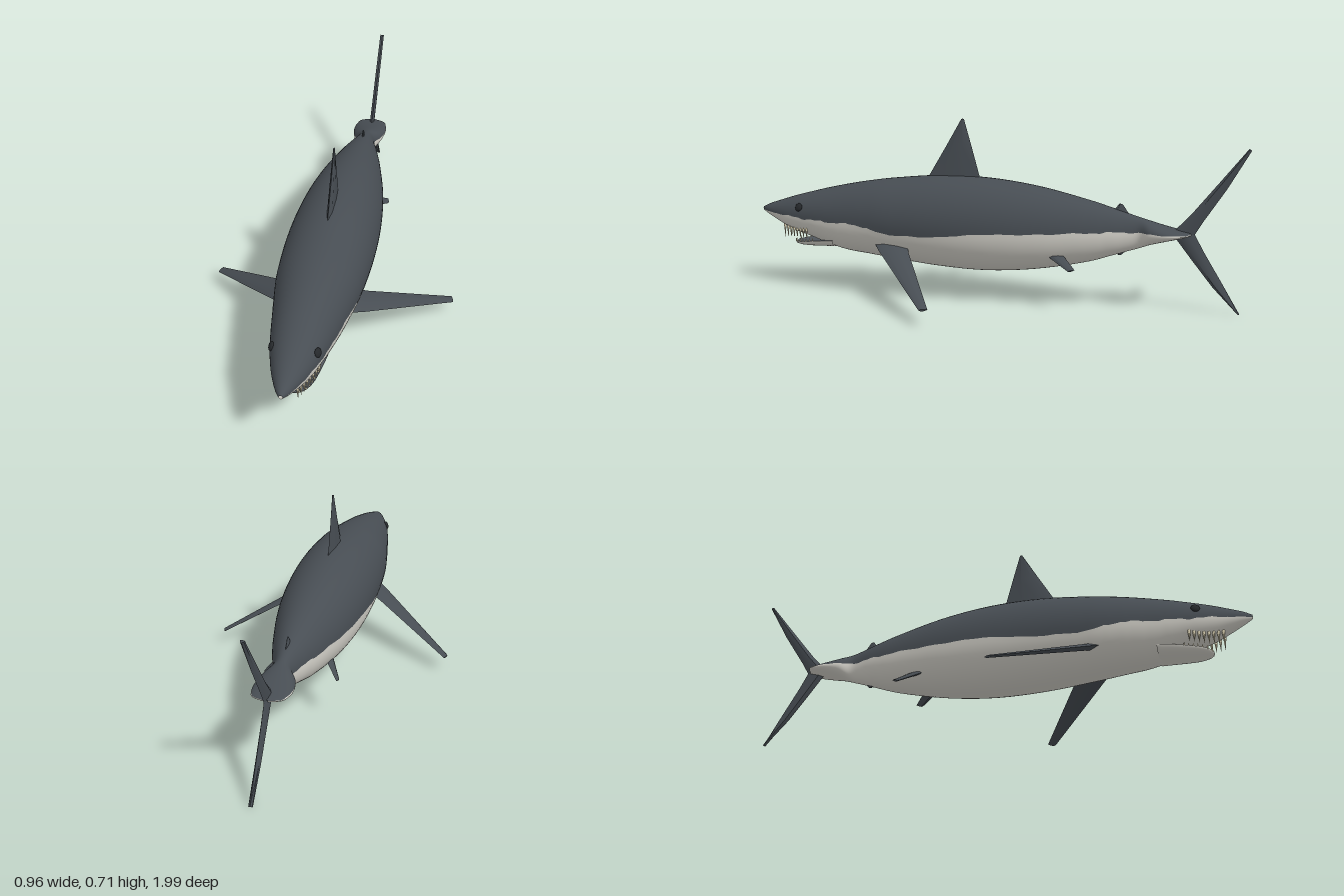
import * as THREE from 'three';
import { toCreasedNormals } from 'three/addons/utils/BufferGeometryUtils.js';

const V = (x, y, z) => new THREE.Vector3(x, y, z);

// Body stations: z, top y, bottom y, half width, colour border y
const BODY = [
  [0.99, 0.321, 0.305, 0.007, 0.309], [0.96, 0.335, 0.288, 0.026, 0.306],
  [0.9, 0.355, 0.257, 0.052, 0.302], [0.85, 0.371, 0.234, 0.07, 0.299],
  [0.8, 0.385, 0.217, 0.085, 0.296], [0.75, 0.398, 0.203, 0.097, 0.293],
  [0.7, 0.411, 0.186, 0.108, 0.291], [0.6, 0.433, 0.16, 0.127, 0.29],
  [0.5, 0.451, 0.149, 0.145, 0.288], [0.4, 0.465, 0.138, 0.16, 0.264],
  [0.2, 0.483, 0.118, 0.171, 0.262], [0, 0.48, 0.112, 0.166, 0.283],
  [-0.2, 0.455, 0.13, 0.142, 0.289], [-0.4, 0.41, 0.17, 0.097, 0.298],
  [-0.5, 0.382, 0.202, 0.067, 0.3], [-0.56, 0.364, 0.222, 0.046, 0.3],
  [-0.6, 0.352, 0.235, 0.04, 0.3], [-0.64, 0.34, 0.25, 0.061, 0.299],
  [-0.7, 0.322, 0.267, 0.071, 0.299], [-0.75, 0.31, 0.281, 0.064, 0.299],
  [-0.775, 0.305, 0.288, 0.05, 0.298], [-0.79, 0.301, 0.293, 0.008, 0.298],
];
// Lower jaw stations: z, top y, bottom y, half width
const JAW = [
  [0.84, 0.186, 0.18, 0.012], [0.825, 0.188, 0.173, 0.04], [0.79, 0.192, 0.169, 0.062],
  [0.74, 0.198, 0.169, 0.075], [0.69, 0.204, 0.171, 0.084], [0.64, 0.208, 0.172, 0.09],
];

// Smooth cubic lookup of one column of a station table
function lookup(table, z, col) {
  let i = 0;
  while (i < table.length - 2 && z < table[i + 1][0]) i++;
  const slope = (a, b) => (table[b][col] - table[a][col]) / (table[b][0] - table[a][0]);
  const last = table.length - 1;
  const m0 = slope(Math.max(i - 1, 0), i + 1), m1 = slope(i, Math.min(i + 2, last));
  const p = table[i], q = table[i + 1], h = q[0] - p[0], t = (z - p[0]) / h;
  const t2 = t * t, t3 = t2 * t;
  return (2 * t3 - 3 * t2 + 1) * p[col] + (t3 - 2 * t2 + t) * h * m0
    + (3 * t2 - 2 * t3) * q[col] + (t3 - t2) * h * m1;
}

// Stations subdivided so that every table row is hit exactly
function stations(table, n) {
  const zs = [table[0][0]];
  for (let i = 1; i < table.length; i++)
    for (let k = 1; k <= n; k++) zs.push(THREE.MathUtils.lerp(table[i - 1][0], table[i][0], k / n));
  return zs;
}

// Open skin: one row per z, point(z, u) for u from 0 to 1
function skin(zs, n, point) {
  const pos = [], idx = [];
  zs.forEach((z, i) => {
    for (let j = 0; j <= n; j++) {
      pos.push(...point(z, j / n));
      if (i && j) {
        const d = i * (n + 1) + j, b = d - 1, c = d - n - 1, a = c - 1;
        idx.push(a, b, c, c, b, d);
      }
    }
  });
  const g = new THREE.BufferGeometry();
  g.setAttribute('position', new THREE.Float32BufferAttribute(pos, 3));
  g.setIndex(idx);
  g.computeVertexNormals();
  return g;
}

function bodyPoint(z, u, upper) {
  const top = lookup(BODY, z, 1), bottom = lookup(BODY, z, 2), w = lookup(BODY, z, 3);
  const c = (top + bottom) / 2, r = (top - bottom) / 2;
  const wave = z > 0.93 ? 0 : 0.003 * Math.sin(z * 47) + 0.002 * Math.sin(z * 113);
  const s = (lookup(BODY, z, 4) + wave * Math.min(1, r / 0.1) - c) / r;
  const a = Math.asin(THREE.MathUtils.clamp(s, -0.8, 0.8));
  const ang = upper ? a + u * (Math.PI - 2 * a) : Math.PI - a + u * (Math.PI + 2 * a);
  return [w * Math.cos(ang), c + r * Math.sin(ang), z];
}

// Fin lofted through lens sections [leading point, trailing point, half thickness]
function fin(sections, normal) {
  const pos = [], idx = [], n = 6;
  const lens = [[0, 0.25], [0.25, 1], [0.65, 0.8], [1, 0.1], [0.65, -0.8], [0.25, -1]];
  sections.forEach(([lead, trail, t], i) => {
    lens.forEach(([f, k], j) => {
      pos.push(...lead.clone().lerp(trail, f).addScaledVector(normal, k * t).toArray());
      if (i) {
        const a = (i - 1) * n + j, b = (i - 1) * n + (j + 1) % n;
        idx.push(a, b, a + n, b, b + n, a + n);
      }
    });
  });
  const e = (sections.length - 1) * n;
  for (let j = 1; j < n - 1; j++) idx.push(0, j + 1, j, e, e + j, e + j + 1);
  // Turn the faces outward whatever the direction of the loft
  const p = (k) => V().fromArray(pos, k * 3);
  let volume = 0;
  for (let k = 0; k < idx.length; k += 3)
    volume += p(idx[k]).dot(p(idx[k + 1]).cross(p(idx[k + 2])));
  if (volume < 0) idx.reverse();
  const g = new THREE.BufferGeometry();
  g.setAttribute('position', new THREE.Float32BufferAttribute(pos, 3));
  g.setIndex(idx);
  return toCreasedNormals(g, 0.6);
}

export function createModel() {
  const group = new THREE.Group();
  const material = (name, color, side = THREE.FrontSide) => {
    const m = new THREE.MeshStandardMaterial({ color, side });
    m.name = name;
    return m;
  };
  const slate = material('slate skin', 0x474d53, THREE.DoubleSide);
  const pale = material('pale belly', 0xd3d1c9, THREE.DoubleSide);
  const mouth = material('mouth lining', 0x50565c, THREE.DoubleSide);
  const ivory = material('ivory teeth', 0xe6dcbc);
  const black = material('eye', 0x25282b);
  const add = (name, geometry, mat, parent = group) => {
    const mesh = new THREE.Mesh(geometry, mat);
    mesh.name = name;
    parent.add(mesh);
    return mesh;
  };

  // Body: dark back and pale belly meet along the wavy border
  const zs = stations(BODY, 5);
  add('back', skin(zs, 28, (z, u) => bodyPoint(z, u, true)), slate);
  add('belly', skin(zs, 28, (z, u) => bodyPoint(z, u, false)), pale);

  // Lower jaw with a shallow mouth floor
  const jz = stations(JAW, 3);
  add('lowerJaw', skin(jz, 18, (z, u) => {
    const top = lookup(JAW, z, 1), a = Math.PI * (1 + u);
    return [lookup(JAW, z, 3) * Math.cos(a), top + (top - lookup(JAW, z, 2)) * Math.sin(a), z];
  }), pale);
  add('mouthFloor', skin(jz, 10, (z, u) => [lookup(JAW, z, 3) * (1 - 2 * u),
    lookup(JAW, z, 1) - 0.004 * Math.sin(Math.PI * u), z]), mouth);

  // Teeth
  const teeth = new THREE.Group();
  teeth.name = 'teeth';
  group.add(teeth);
  const tooth = (name, x, y0, y1, z, r) => {
    const m = add(name, new THREE.ConeGeometry(r, Math.abs(y1 - y0), 6), ivory, teeth);
    m.position.set(x, (y0 + y1) / 2, z);
    if (y1 < y0) m.rotation.x = Math.PI;
  };
  for (const s of [1, -1]) {
    for (let i = 0; i < 8; i++) {
      const f = i / 7, z = 0.88 - 0.12 * f, x = 0.03 + 0.048 * f;
      const top = lookup(BODY, z, 1), bottom = lookup(BODY, z, 2), w = lookup(BODY, z, 3);
      const c = (top + bottom) / 2;
      const y = c - (top - bottom) / 2 * Math.sqrt(1 - Math.min(0.95, (x / w) ** 2));
      tooth('upperTooth', s * x, y + 0.006, 0.198 + 0.01 * f, z, 0.0065);
    }
    for (let i = 0; i < 7; i++) {
      const z = 0.834 - 0.016 * i, y = lookup(JAW, z, 1);
      tooth('lowerTooth', s * lookup(JAW, z, 3) * 0.92, y - 0.003, y + 0.015, z, 0.004);
    }
  }

  // Fins on the centre line
  const X = V(1, 0, 0);
  add('dorsalFin', fin([
    [V(0, 0.45, 0.268), V(0, 0.45, 0.03), 0.011],
    [V(0, 0.6, 0.178), V(0, 0.6, 0.072), 0.007],
    [V(0, 0.71, 0.114), V(0, 0.71, 0.104), 0.003],
  ], X), slate);
  add('rearDorsalFin', fin([
    [V(0, 0.36, -0.485), V(0, 0.35, -0.565), 0.006],
    [V(0, 0.402, -0.517), V(0, 0.4, -0.53), 0.003],
  ], X), slate);
  add('analFin', fin([
    [V(0, 0.225, -0.485), V(0, 0.24, -0.565), 0.006],
    [V(0, 0.202, -0.517), V(0, 0.204, -0.53), 0.003],
  ], X), slate);
  add('upperTailLobe', fin([
    [V(0, 0.305, -0.725), V(0, 0.29, -0.8), 0.009],
    [V(0, 0.375, -0.79), V(0, 0.345, -0.832), 0.009],
    [V(0, 0.5, -0.89), V(0, 0.475, -0.917), 0.009],
    [V(0, 0.626, -0.99), V(0, 0.62, -1), 0.008],
  ], X), slate);
  add('lowerTailLobe', fin([
    [V(0, 0.29, -0.725), V(0, 0.305, -0.8), 0.009],
    [V(0, 0.2, -0.795), V(0, 0.235, -0.838), 0.009],
    [V(0, 0.1, -0.875), V(0, 0.12, -0.908), 0.009],
    [V(0, 0, -0.972), V(0, 0.002, -0.978), 0.008],
  ], X), slate);

  // Paired fins and eyes
  for (const [s, side] of [[1, 'left'], [-1, 'right']]) {
    add(side + 'PectoralFin', fin([
      [V(s * 0.1, 0.222, 0.455), V(s * 0.1, 0.222, 0.31), 0.013],
      [V(s * 0.165, 0.194, 0.405), V(s * 0.165, 0.194, 0.28), 0.012],
      [V(s * 0.48, 0.057, 0.125), V(s * 0.47, 0.06, 0.094), 0.005],
    ], V(s * 0.4, 0.917, 0)), slate);
    add(side + 'PelvicFin', fin([
      [V(s * 0.085, 0.21, -0.24), V(s * 0.085, 0.21, -0.315), 0.007],
      [V(s * 0.143, 0.156, -0.35), V(s * 0.138, 0.163, -0.375), 0.004],
    ], V(s * 0.7, 0.714, 0)), slate);
    const eye = add(side + 'Eye', new THREE.SphereGeometry(0.017, 18, 12), black);
    eye.scale.set(0.5, 1, 1);
    eye.position.set(s * 0.081, 0.338, 0.79);
    eye.rotation.set(0, s * -0.3, s * 0.35);
  }
  return group;
}
